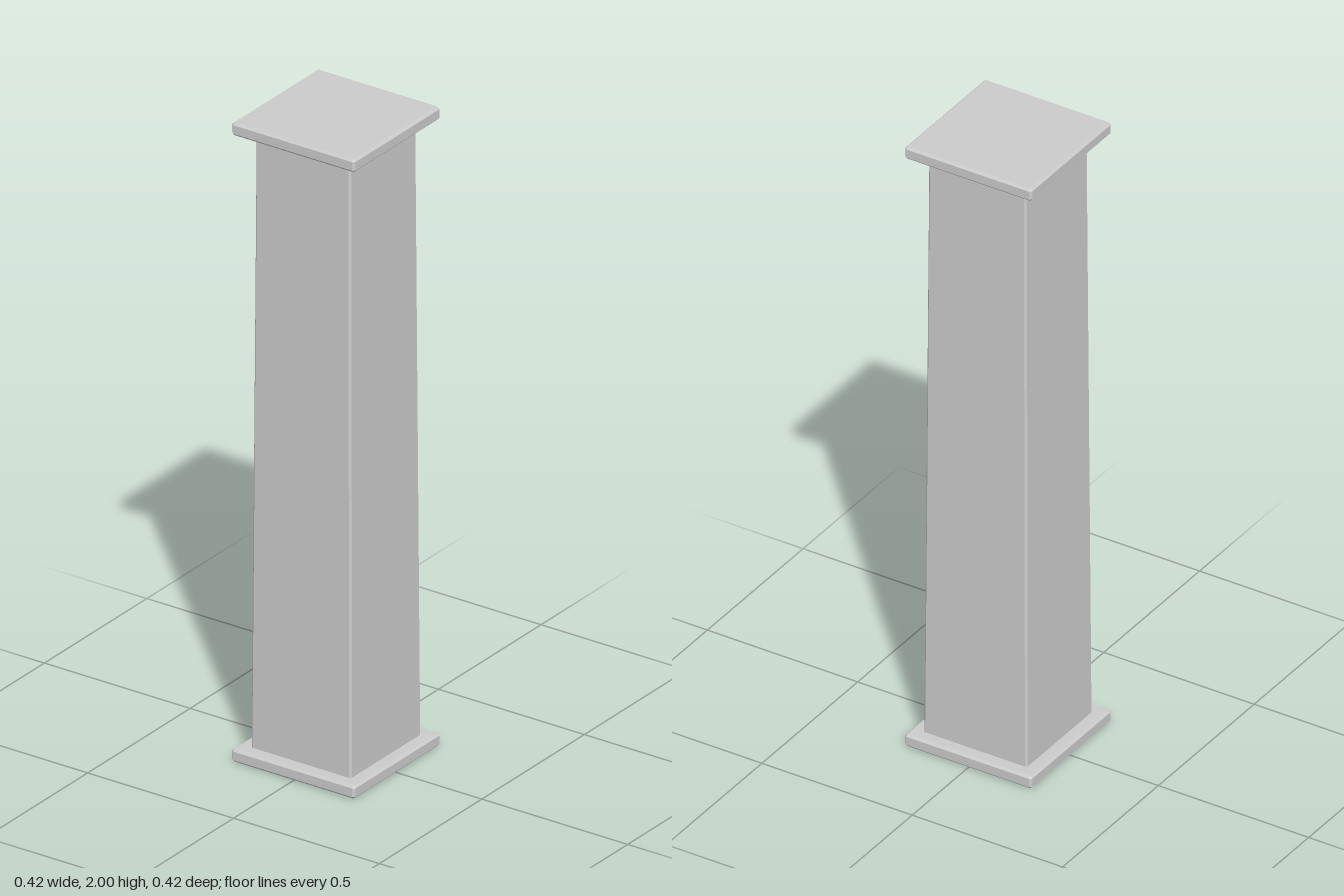
import * as THREE from 'three';

const material = new THREE.MeshStandardMaterial({ color: 0xcccccc, flatShading: true });

// Square ring of half-width h with corners cut by c (c = 0 gives sharp corners)
function ring(y, h, c) {
  const k = h - c;
  return [[h, -k], [h, k], [k, h], [-k, h], [-h, k], [-h, -k], [-k, -h], [k, -h]]
    .map(([x, z]) => new THREE.Vector3(x, y, z));
}

// Closed solid through a stack of [y, halfWidth, cornerCut] levels
function loft(name, levels) {
  const rings = levels.map((l) => ring(...l));
  const pos = [];
  const tri = (a, b, c) => {
    if (new THREE.Triangle(a, b, c).getArea() < 1e-9) return;
    for (const v of [a, b, c]) pos.push(v.x, v.y, v.z);
  };
  const low = rings[0], high = rings[rings.length - 1];
  const lowMid = new THREE.Vector3(0, low[0].y, 0);
  const highMid = new THREE.Vector3(0, high[0].y, 0);
  for (let k = 0; k < 8; k++) {
    const n = (k + 1) % 8;
    for (let i = 0; i + 1 < rings.length; i++) {
      const a = rings[i], b = rings[i + 1];
      tri(a[k], b[k], a[n]);
      tri(a[n], b[k], b[n]);
    }
    tri(lowMid, low[k], low[n]);
    tri(highMid, high[n], high[k]);
  }
  const geometry = new THREE.BufferGeometry();
  geometry.setAttribute('position', new THREE.Float32BufferAttribute(pos, 3));
  geometry.computeVertexNormals();
  const mesh = new THREE.Mesh(geometry, material);
  mesh.name = name;
  return mesh;
}

// Flat square plate with all edges chamfered
function plate(name, y0, y1) {
  const h = 0.211, c = 0.007;
  return loft(name, [[y0, h - c, 0], [y0 + c, h, c], [y1 - c, h, c], [y1, h - c, 0]]);
}

export function createModel() {
  const group = new THREE.Group();
  group.name = 'column';
  group.add(
    plate('basePlate', 0, 0.041),
    // Gently tapering shaft with narrow chamfered corners
    loft('shaft', [[0.035, 0.172, 0.006], [1.965, 0.162, 0.006]]),
    plate('capPlate', 1.959, 2),
  );
  return group;
}
